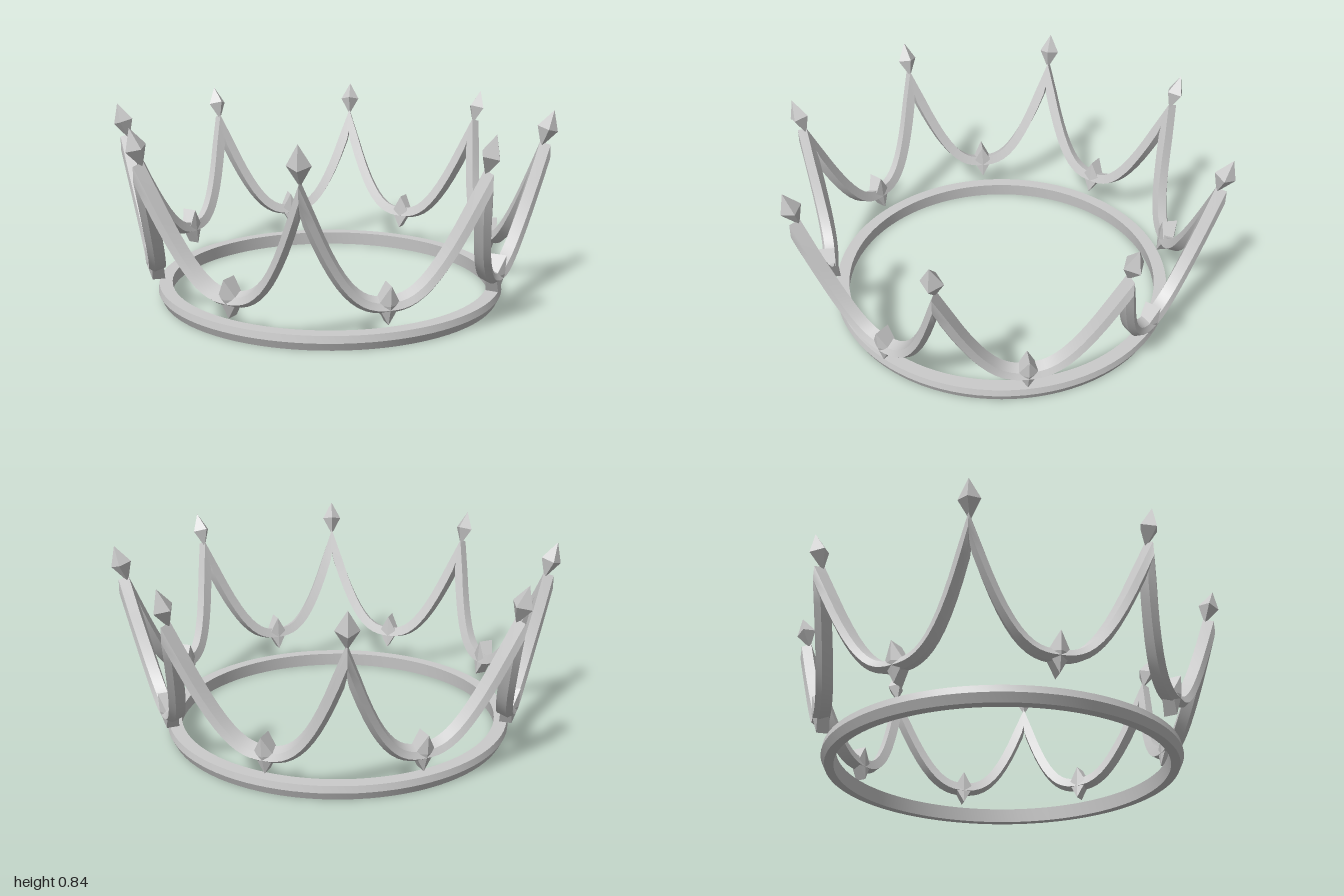
import * as THREE from 'three';
import { toCreasedNormals } from 'three/addons/utils/BufferGeometryUtils.js';
import { ConvexGeometry } from 'three/addons/geometries/ConvexGeometry.js';

const PEAKS = 8;
const STEP = (Math.PI * 2) / PEAKS;
const LEAN = 0.3; // outward flare of the crown, radians
const radiusAt = (y) => 0.8 + (y - 0.19) * Math.tan(LEAN);

// One closed band that swings between peaks and valleys around the crown
function swagGeometry() {
  const perHalf = 12, period = 2 * perHalf, count = PEAKS * period;
  const section = [[1, 0.017], [0, 0.036], [-1, 0.017], [-1, -0.031], [1, -0.031]]; // across, outward
  const pointAt = (i) => {
    const rise = Math.abs((i % period) - perHalf) / perHalf; // 1 at a peak, 0 in a valley
    const y = 0.185 + 0.455 * Math.pow(rise, 2.6);
    const a = (i / count) * Math.PI * 2, r = radiusAt(y);
    return new THREE.Vector3(r * Math.sin(a), y, r * Math.cos(a));
  };
  const verts = [], index = [], n = section.length;
  for (let i = 0; i < count; i++) {
    const a = (i / count) * Math.PI * 2;
    const p = pointAt(i);
    const tangent = pointAt(i + 1).sub(pointAt(i - 1 + count));
    const out = new THREE.Vector3(
      Math.sin(a) * Math.cos(LEAN), -Math.sin(LEAN), Math.cos(a) * Math.cos(LEAN));
    const across = out.clone().cross(tangent).normalize();
    const half = i % period === 0 ? 0.058 : 0.023; // mitre at the peaks
    for (const [w, d] of section) {
      const v = p.clone().addScaledVector(across, w * half).addScaledVector(out, d);
      verts.push(v.x, v.y, v.z);
    }
    for (let j = 0; j < n; j++) {
      const k = (j + 1) % n, next = ((i + 1) % count) * n;
      index.push(i * n + j, i * n + k, next + j, i * n + k, next + k, next + j);
    }
  }
  const geometry = new THREE.BufferGeometry();
  geometry.setAttribute('position', new THREE.Float32BufferAttribute(verts, 3));
  geometry.setIndex(index);
  return toCreasedNormals(geometry, 0.45);
}

export function createModel() {
  const crown = new THREE.Group();
  crown.name = 'crown';
  const smooth = new THREE.MeshStandardMaterial({ color: 0xcccccc });
  const faceted = new THREE.MeshStandardMaterial({ color: 0xcccccc, flatShading: true });

  const add = (name, geometry, material, angle = 0, y = 0, radius = 0, lean = 0) => {
    const mesh = new THREE.Mesh(geometry, material);
    mesh.name = name;
    mesh.rotation.set(lean, angle, 0, 'YXZ');
    mesh.position.set(radius * Math.sin(angle), y, radius * Math.cos(angle));
    crown.add(mesh);
  };

  // Base ring with a ridge around the outside
  const profile = [[0.728, 0], [0.768, 0], [0.785, 0.035], [0.78, 0.065], [0.722, 0.065], [0.728, 0]]
    .map(([x, y]) => new THREE.Vector2(x, y));
  add('baseRing', toCreasedNormals(new THREE.LatheGeometry(profile, 96), 0.3), smooth);

  add('swagBand', swagGeometry(), smooth);

  // Pointed finials on the peaks, ridged lozenges with level points in the valleys
  const finial = new THREE.OctahedronGeometry(1).scale(0.046, 0.085, 0.046);
  const lozenge = new ConvexGeometry([
    [0, 0.083, -0.03], [0, -0.083, -0.043], [0.046, 0, -0.03], [-0.046, 0, -0.03],
    [0, 0.083, 0.042], [0, -0.083, 0.012], [0.046, 0, 0.016], [-0.046, 0, 0.016],
    [0, 0, 0.038],
  ].map((p) => new THREE.Vector3(...p)));
  for (let i = 0; i < PEAKS; i++) {
    add('finial', finial, faceted, i * STEP, 0.762, 0.956, LEAN);
    add('valleyLozenge', lozenge, faceted, (i + 0.5) * STEP, 0.192, 0.8);
  }
  return crown;
}
